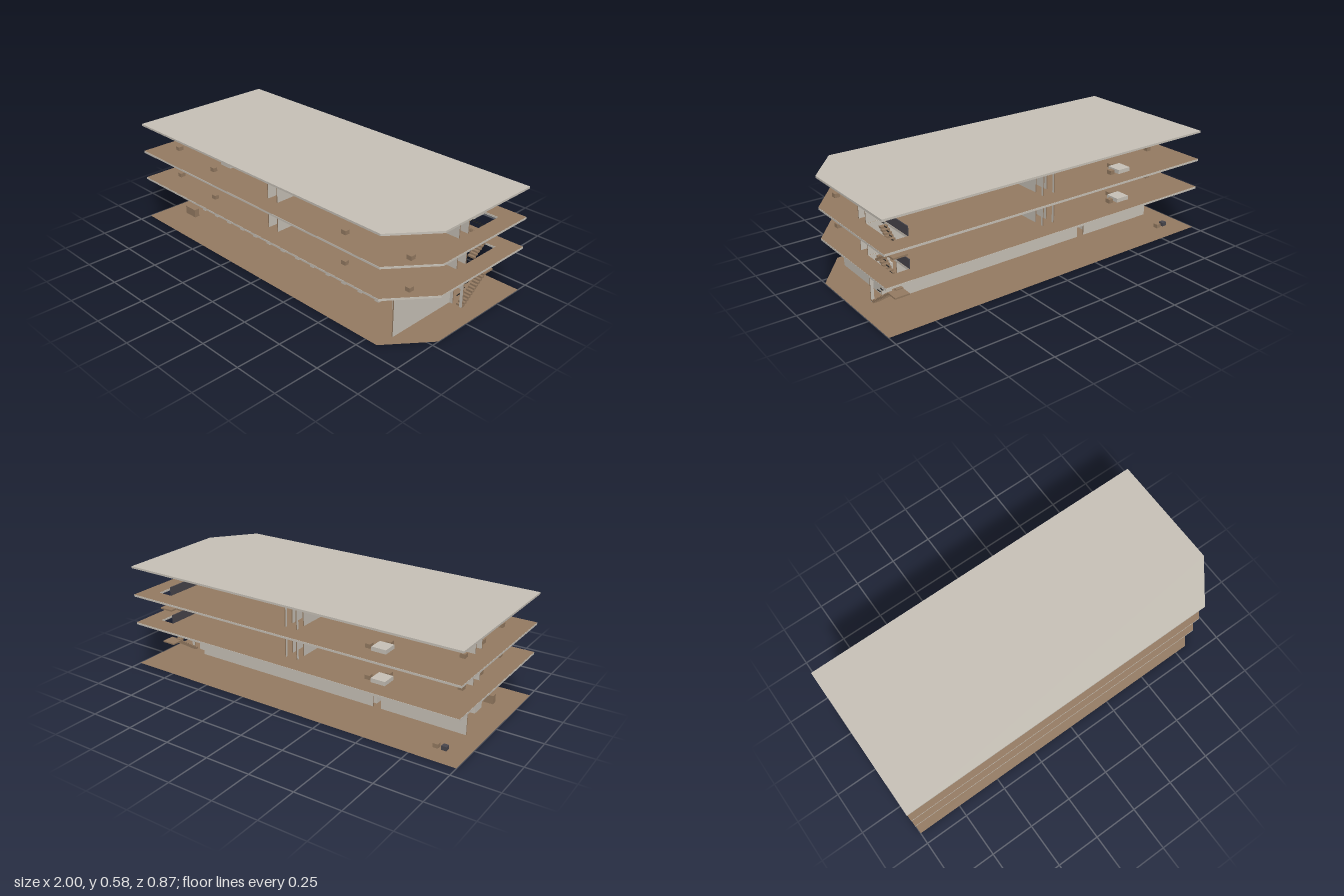
import * as THREE from 'three';

const mat = (name, color, extra = {}) => Object.assign(new THREE.MeshStandardMaterial({ color, ...extra }), { name });

export function createModel() {
  const model = new THREE.Group();
  model.name = 'building';
  const concrete = mat('concrete', 0xc8c2b8);
  const wood = mat('wood', 0x957b62);
  const floorWood = mat('floor wood', 0x957b62, { side: THREE.DoubleSide });
  const panel = mat('dark panel', 0x48464d);
  const rail = mat('black rail', 0x222222);

  const group = (name, parent = model) => {
    const g = new THREE.Group();
    g.name = name;
    parent.add(g);
    return g;
  };
  // Box given by its limits on each axis
  const box = (parent, name, material, [x0, x1], [y0, y1], [z0, z1]) => {
    const m = new THREE.Mesh(new THREE.BoxGeometry(x1 - x0, y1 - y0, z1 - z0), material);
    m.position.set((x0 + x1) / 2, (y0 + y1) / 2, (z0 + z1) / 2);
    m.name = name;
    parent.add(m);
    return m;
  };

  // Floor outline with one cut corner and an optional stair opening
  const outline = (hole) => {
    const s = new THREE.Shape([[-1, -0.435], [0.82, -0.435], [1, -0.21], [1, 0.435], [-1, 0.435]]
      .map(([x, y]) => new THREE.Vector2(x, y)));
    if (hole) s.holes.push(new THREE.Path([[0.822, 0.1], [0.822, 0.335], [0.905, 0.335], [0.905, 0.1]]
      .map(([x, y]) => new THREE.Vector2(x, y))));
    return s;
  };
  const flat = (name, geometry, material, y) => {
    const m = new THREE.Mesh(geometry.rotateX(-Math.PI / 2), material);
    m.position.y = y;
    m.name = name;
    model.add(m);
  };
  const slab = (name, y, hole) =>
    flat(name, new THREE.ExtrudeGeometry(outline(hole), { depth: 0.011, bevelEnabled: false }), concrete, y);
  flat('groundFloor', new THREE.ShapeGeometry(outline(false)), floorWood, 0);
  slab('firstSlab', 0.24, true);
  slab('secondSlab', 0.406, true);
  slab('roof', 0.572, false);
  for (const y of [0.252, 0.418]) flat('floorFinish', new THREE.ShapeGeometry(outline(true)), floorWood, y);

  // Wall along x or z with wooden ends and door openings
  const T = 0.003;
  const doorHeight = 0.104;
  const wall = (name, axis, at, from, to, y0, y1, doors = []) => {
    const g = group(name);
    const mats = axis === 'x'
      ? [wood, wood, concrete, concrete, concrete, concrete]
      : [concrete, concrete, concrete, concrete, wood, wood];
    const piece = (a, b, lo) => axis === 'x'
      ? box(g, 'wallPiece', mats, [a, b], [lo, y1], [at - T, at + T])
      : box(g, 'wallPiece', mats, [at - T, at + T], [lo, y1], [a, b]);
    let start = from;
    for (const [a, b] of doors) {
      piece(start, a, y0);
      piece(a, b, y0 + doorHeight);
      start = b;
    }
    piece(start, to, y0);
  };

  // Ground floor walls
  wall('groundBackWall', 'x', -0.135, -0.905, 0.778, 0, 0.24, [[-0.425, -0.378]]);
  wall('stairWall', 'x', -0.095, 0.79, 0.905, 0, 0.24, [[0.847, 0.888]]);
  wall('groundSideWall', 'z', 0.826, -0.092, 0.335, 0, 0.24);

  // Ground floor booths in two rows
  const booths = group('booths');
  for (let i = 0; i < 14; i++) {
    const x = -0.833 + i * 0.1172;
    for (const z of [0.125, -0.06])
      box(booths, 'booth', concrete, [x - 0.013, x + 0.013], [-0.001, 0.07], [z - 0.04, z + 0.04]);
  }
  box(model, 'desk', wood, [-0.88, -0.795], [0, 0.047], [0.23, 0.26]);
  box(model, 'yardSeat', wood, [-0.85, -0.822], [0, 0.022], [-0.328, -0.3]);
  box(model, 'darkYardSeat', panel, [-0.895, -0.867], [0, 0.022], [-0.328, -0.3]);

  // Upper floors: corridor, cross walls, furniture and stair guard
  for (const [y0, y1] of [[0.252, 0.406], [0.418, 0.572]]) {
    for (const z of [-0.025, -0.095]) {
      wall('corridorWall', 'x', z, -0.905, -0.038, y0, y1);
      wall('corridorWall', 'x', z, 0.032, 0.905, y0, y1);
    }
    const backDoors = [[-0.322, -0.275], [-0.0915, -0.05]];
    wall('crossWall', 'z', -0.038, -0.335, 0.335, y0, y1, backDoors);
    wall('crossWall', 'z', 0.032, -0.335, 0.335, y0, y1, [...backDoors, [-0.01, 0.035]]);
    box(model, 'stairGuard', panel, [0.816, 0.821], [y0, y0 + 0.049], [-0.335, -0.098]);

    const furniture = group('furniture');
    const seat = (x, z, w = 0.028, d = 0.03) =>
      box(furniture, 'seat', wood, [x - w / 2, x + w / 2], [y0, y0 + 0.022], [z - d / 2, z + d / 2]);
    const table = (x, z) =>
      box(furniture, 'table', concrete, [x - 0.04, x + 0.04], [y0, y0 + 0.022], [z - 0.04, z + 0.04]);
    for (const s of [-1, 1]) {
      seat(s * 0.87, 0.28);
      seat(s * 0.5, 0.322, 0.03, 0.024);
      seat(s * 0.5 - 0.05, -0.01, 0.028, 0.022);
      seat(s * 0.5 + 0.05, -0.01, 0.028, 0.022);
    }
    table(-0.5, 0.2);
    table(0.5, 0.035);
    table(-0.52, -0.3);
    seat(-0.45, -0.31);
    seat(-0.52, -0.235);
    seat(-0.875, 0.04);
    seat(-0.875, -0.16);
  }

  // Flight of steps between two (z, y) ends
  const flight = (parent, xs, [za, ya], [zb, yb], steps) => {
    const dz = (zb - za) / steps;
    const dy = (yb - ya) / steps;
    for (let i = 0; i < steps; i++) {
      const z = [za + i * dz, za + (i + 1.25) * dz].sort((a, b) => a - b);
      box(parent, 'step', wood, xs, [ya + i * dy, ya + (i + 1) * dy], z);
    }
  };
  // Handrail of short level strips
  const handrail = (parent, x, [za, ya], [zb, yb], count, length) => {
    for (let i = 0; i < count; i++) {
      const t = i / (count - 1);
      const z = za + (zb - za) * t;
      const y = ya + (yb - ya) * t;
      box(parent, 'railStrip', rail, [x - 0.002, x + 0.002], [y - 0.0015, y + 0.0015], [z - length / 2, z + length / 2]);
    }
  };
  const up = [0.865, 0.903];
  const back = [0.824, 0.862];

  const lower = group('lowerStair');
  flight(lower, up, [-0.098, 0], [-0.275, 0.124], 12);
  flight(lower, back, [-0.275, 0.12], [-0.1, 0.241], 12);
  box(lower, 'landing', wood, [0.824, 0.903], [0.118, 0.126], [-0.335, -0.27]);
  handrail(lower, 0.867, [-0.11, 0.055], [-0.263, 0.161], 6, 0.029);
  handrail(lower, 0.86, [-0.263, 0.182], [-0.11, 0.288], 6, 0.029);

  const upper = group('upperStair');
  flight(upper, up, [-0.16, 0.252], [-0.275, 0.328], 8);
  flight(upper, back, [-0.275, 0.328], [-0.145, 0.41], 8);
  box(upper, 'landing', wood, [0.824, 0.903], [0.321, 0.33], [-0.335, -0.27]);
  handrail(upper, 0.867, [-0.172, 0.303], [-0.267, 0.367], 6, 0.021);
  handrail(upper, 0.86, [-0.267, 0.383], [-0.158, 0.455], 6, 0.021);

  return model;
}
